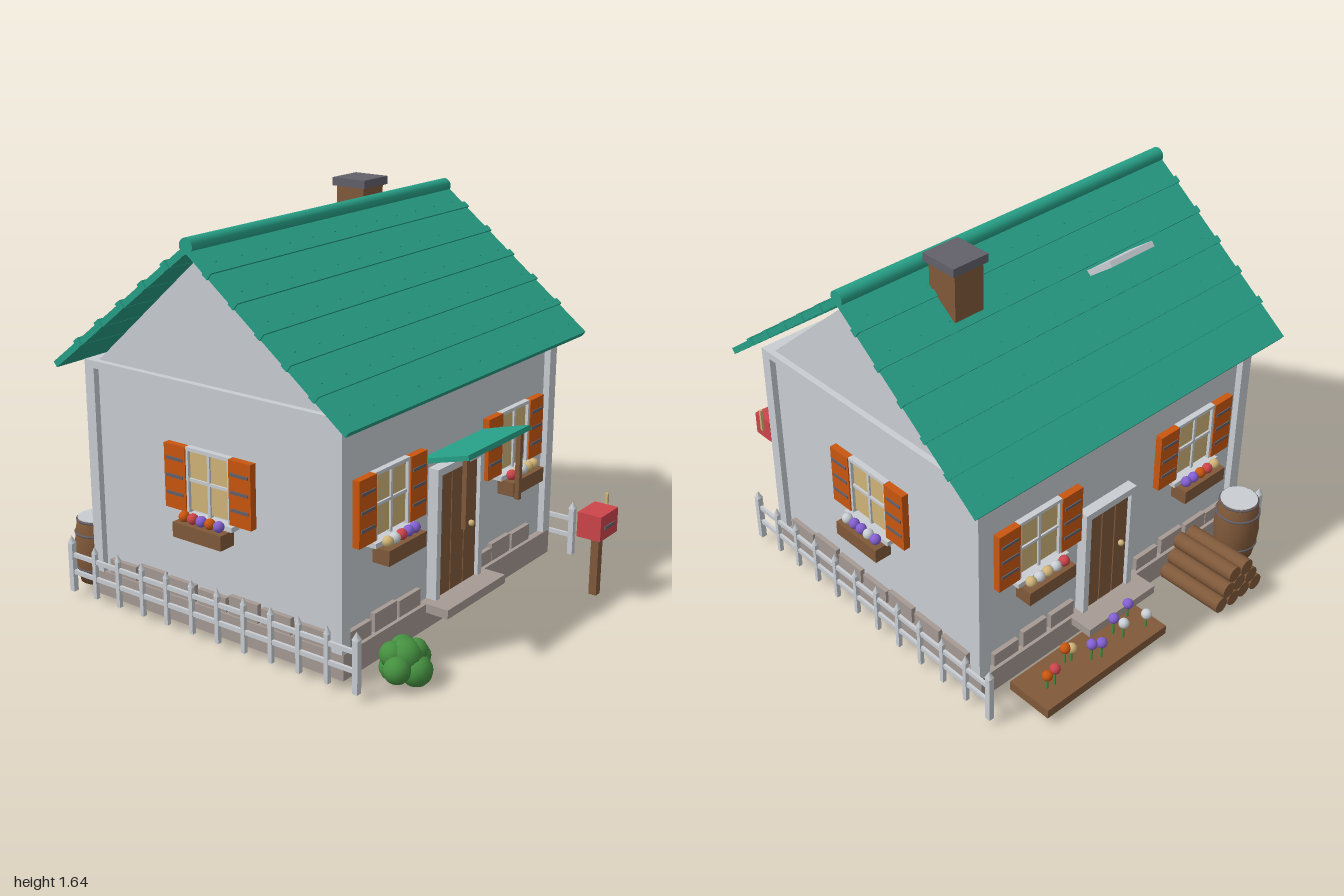
import * as THREE from 'three';

const mat = (name, color, side = THREE.FrontSide) => {
  const m = new THREE.MeshStandardMaterial({ color, side });
  m.name = name;
  return m;
};
const M = {
  green: mat('roof green', 0x27a087), wall: mat('pale grey', 0xc9ced3),
  orange: mat('shutter orange', 0xc9560f), brown: mat('wood brown', 0x80593a),
  tan: mat('warm tan', 0xd0b478), stone: mat('stone', 0xa69a94),
  dark: mat('dark grey', 0x62606a), leaf: mat('leaf green', 0x459040),
  red: mat('red', 0xcc454b), purple: mat('purple', 0x8360d2),
};

function add(parent, name, geo, m, x = 0, y = 0, z = 0) {
  const mesh = new THREE.Mesh(geo, m);
  mesh.name = name;
  mesh.position.set(x, y, z);
  parent.add(mesh);
  return mesh;
}
// Box given by its lowest and highest corners
function box(parent, name, m, [x0, x1], [y0, y1], [z0, z1]) {
  return add(parent, name, new THREE.BoxGeometry(x1 - x0, y1 - y0, z1 - z0), m,
    (x0 + x1) / 2, (y0 + y1) / 2, (z0 + z1) / 2);
}
const ball = (parent, name, m, r, x, y, z) =>
  add(parent, name, new THREE.SphereGeometry(r, 14, 10), m, x, y, z);
function group(parent, name, x = 0, y = 0, z = 0, ry = 0) {
  const g = new THREE.Group();
  g.name = name;
  g.position.set(x, y, z);
  g.rotation.y = ry;
  parent.add(g);
  return g;
}

const ZC = -0.05; // house centre line

// Shuttered window with flower box; local z = 0 is the wall face
function makeWindow(parent, x, z, ry, colors) {
  const g = group(parent, 'window', x, 0, z, ry);
  box(g, 'windowGlass', M.tan, [-0.1, 0.1], [0.52, 0.765], [0, 0.012]);
  for (const s of [-1, 1]) {
    box(g, 'frameSide', M.wall, [s * 0.103 - 0.006, s * 0.103 + 0.006], [0.51, 0.772], [0, 0.025]);
    box(g, 'shutter', M.orange, [s * 0.161 - 0.053, s * 0.161 + 0.053], [0.512, 0.77], [0, 0.03]);
    for (const y of [0.575, 0.645, 0.715])
      box(g, 'shutterSlat', M.dark, [s * 0.161 - 0.042, s * 0.161 + 0.042], [y - 0.006, y + 0.006], [0.028, 0.034]);
  }
  box(g, 'frameTop', M.wall, [-0.108, 0.108], [0.758, 0.772], [0, 0.025]);
  box(g, 'mullion', M.wall, [-0.006, 0.006], [0.51, 0.765], [0, 0.02]);
  box(g, 'crossBar', M.wall, [-0.1, 0.1], [0.636, 0.648], [0, 0.02]);
  box(g, 'sill', M.wall, [-0.132, 0.132], [0.49, 0.51], [0, 0.045]);
  box(g, 'flowerBox', M.brown, [-0.12, 0.12], [0.43, 0.49], [0.02, 0.095]);
  colors.forEach((c, i) => {
    const fx = (i - 2) * 0.043;
    add(g, 'stem', new THREE.ConeGeometry(0.012, 0.03, 6), M.leaf, fx, 0.495, 0.068);
    ball(g, 'blossom', M[c], 0.022, fx, 0.51, 0.065);
  });
}

// Plank door with frame, knob and step
function makeDoor(parent, name, x, z, ry, half, top, stepHalf) {
  const g = group(parent, name, x, 0, z, ry);
  const f = half + 0.028;
  for (const s of [-1, 1])
    box(g, 'doorFrameSide', M.wall, [s * (half + 0.014) - 0.014, s * (half + 0.014) + 0.014], [0.135, top], [0, 0.045]);
  box(g, 'doorFrameTop', M.wall, [-f, f], [top, top + 0.03], [0, 0.045]);
  box(g, 'doorBack', M.brown, [-half, half], [0.135, top], [0, 0.02]);
  const w = half * 2 / 3;
  for (let i = 0; i < 3; i++)
    box(g, 'doorPlank', M.brown, [-half + i * w + 0.003, -half + (i + 1) * w - 0.003], [0.135, top], [0.01, 0.03]);
  ball(g, 'doorKnob', M.tan, 0.013, half * 0.62, 0.38, 0.042);
  box(g, 'doorStep', M.stone, [-stepHalf, stepHalf], [0.1, 0.137], [0, 0.13]);
}

function makeFence(parent, x) {
  const g = group(parent, 'fence', x);
  const n = 12;
  for (let i = 0; i < n; i++) {
    const z = 0.67 - i * 1.44 / (n - 1), end = i === 0 || i === n - 1;
    const r = end ? 0.012 : 0.009, h = end ? 0.24 : 0.225;
    box(g, 'picket', M.wall, [-r, r], [0.03, h], [z - r, z + r]);
    const tip = add(g, 'picketTip', new THREE.ConeGeometry(r * 1.6, 0.032, 4), M.wall, 0, h + 0.016, z);
    tip.rotation.y = Math.PI / 4;
  }
  for (const y of [0.115, 0.19])
    box(g, 'rail', M.wall, [-0.006, 0.006], [y - 0.009, y + 0.009], [-0.77, 0.67]);
}

function makeRoof(parent) {
  const roof = group(parent, 'roof', 0, 1.55, ZC);
  const angle = Math.atan2(0.545, 0.71), len = 0.893;
  for (const ry of [0, Math.PI]) {
    const side = group(roof, 'roofSide', 0, 0, 0, ry);
    const slope = group(side, 'roofSlope');
    slope.rotation.x = angle;
    box(slope, 'roofSlab', M.green, [-0.825, 0.825], [-0.013, 0.013], [0, len]);
    // overlapping course edges and nail heads
    for (let i = 0; i < 6; i++) {
      const d = 0.14 + i * 0.148;
      if (i < 5) box(slope, 'courseEdge', M.green, [-0.832, 0.832], [-0.014, 0.02], [d - 0.03, d]);
      for (let k = 0; k < 12; k++)
        box(slope, 'nail', M.green, [-0.76 + k * 0.138 - 0.004, -0.76 + k * 0.138 + 0.004], [0.01, 0.018], [d - 0.054, d - 0.046]);
    }
  }
  const ridge = add(roof, 'ridgeCap', new THREE.CylinderGeometry(0.031, 0.031, 1.65, 18), M.green, 0, 0.01, 0);
  ridge.rotation.z = Math.PI / 2;
  // raised skylight on the back slope
  const sky = add(parent, 'skylight', new THREE.BoxGeometry(0.235, 0.024, 0.14), M.wall, -0.288, 1.412, -0.357);
  sky.rotation.x = angle;
  box(parent, 'chimney', M.brown, [0.335, 0.47], [1.35, 1.605], [-0.265, -0.127]);
  box(parent, 'chimneyCap', M.dark, [0.32, 0.485], [1.603, 1.637], [-0.277, -0.113]);
}

function makeShell(house) {
  box(house, 'foundation', M.stone, [-0.74, 0.74], [0.03, 0.135], [-0.68, 0.58]);
  box(house, 'walls', M.wall, [-0.72, 0.72], [0.13, 1.01], [-0.65, 0.55]);
  const tri = new THREE.Shape([[-0.59, 1.01], [0.59, 1.01], [0, 1.53]].map(p => new THREE.Vector2(...p)));
  const gable = add(house, 'gables', new THREE.ExtrudeGeometry(tri, { depth: 1.44, bevelEnabled: false }), M.wall, -0.72, 0, ZC);
  gable.rotation.y = Math.PI / 2;
  for (const s of [-1, 1]) {
    const zs = ZC + s * 0.604;
    for (const t of [-1, 1])
      box(house, 'cornerPost', M.wall, [t * 0.72 - 0.026, t * 0.72 + 0.026], [0.135, 1.0], [zs - 0.024, zs + 0.024]);
    box(house, 'sideBeam', M.wall, [s * 0.72 - 0.026, s * 0.72 + 0.026], [0.995, 1.025], [-0.678, 0.578]);
    box(house, 'eaveBeam', M.wall, [-0.746, 0.746], [0.995, 1.025], [zs - 0.024, zs + 0.024]);
  }
  // stones along the wall foot
  const stone = (a, c, w, i, ry) => {
    const g = group(house, 'footStones', 0, 0, ZC, ry);
    const h = 0.2 + 0.008 * (i * 5 % 3);
    box(g, 'footStone', M.stone, [c - w / 2, c + w / 2], [0.14, h], [a - 0.01, a + 0.02]);
  };
  [-0.625, -0.463, -0.305, 0.21, 0.355, 0.515].forEach((c, i) => stone(0.6, c, 0.142, i, 0));
  [-0.6, -0.45, -0.3, 0.19, 0.34, 0.49, 0.62].forEach((c, i) => stone(0.6, c, 0.125, i, Math.PI));
  for (const s of [-1, 1])
    for (let i = 0; i < 7; i++) stone(0.72, (i - 3) * 0.158, 0.142, i, s * Math.PI / 2);
}

function makeYard(root) {
  // mailbox
  const mail = group(root, 'mailbox');
  box(mail, 'mailboxPost', M.brown, [0.46, 0.494], [0.03, 0.3], [0.928, 0.962]);
  box(mail, 'mailboxBody', M.red, [0.405, 0.55], [0.292, 0.397], [0.89, 0.995]);
  box(mail, 'mailSlot', M.dark, [0.435, 0.52], [0.336, 0.348], [0.993, 1.0]);
  box(mail, 'mailFlag', M.tan, [0.55, 0.562], [0.335, 0.442], [0.934, 0.946]);

  // bush
  const bush = group(root, 'bush', -0.57, 0.085, 0.735);
  [[0, 0.03, 0, 0.065], [-0.07, 0, 0.01, 0.052], [0.068, 0, 0, 0.055], [0.01, -0.022, 0.04, 0.062],
    [-0.035, 0.035, -0.035, 0.05], [0.04, 0.03, -0.04, 0.05], [-0.02, -0.02, -0.04, 0.055], [0.035, 0.042, 0.02, 0.045]]
    .forEach(([x, y, z, r]) => ball(bush, 'foliage', M.leaf, r, x, y, z));

  // barrel
  const barrel = group(root, 'barrel', -0.63, 0.03, -0.78);
  const profile = [[0, 0], [0.078, 0], [0.09, 0.07], [0.096, 0.14], [0.09, 0.21], [0.08, 0.275], [0.07, 0.275]]
    .map(p => new THREE.Vector2(...p));
  add(barrel, 'barrelBody', new THREE.LatheGeometry(profile, 24), M.brown);
  add(barrel, 'barrelWater', new THREE.CylinderGeometry(0.078, 0.078, 0.008, 24), M.wall, 0, 0.274, 0);
  for (const [y, r] of [[0.06, 0.088], [0.215, 0.09], [0.27, 0.08]]) {
    const hoop = add(barrel, 'barrelHoop', new THREE.TorusGeometry(r, 0.005, 6, 28), M.dark, 0, y, 0);
    hoop.rotation.x = Math.PI / 2;
  }

  // log pile
  const pile = group(root, 'logPile', -0.393, 0.067, -0.845);
  for (let row = 0; row < 3; row++)
    for (let i = 0; i < 4 - row; i++) {
      const log = add(pile, 'log', new THREE.CylinderGeometry(0.035, 0.035, 0.3, 14), M.brown,
        (i - (3 - row) / 2) * 0.07, row * 0.061, -0.004 + 0.004 * (i % 2));
      log.rotation.x = Math.PI / 2;
    }

  // flower bed
  const bed = group(root, 'flowerBed');
  box(bed, 'planter', M.brown, [-0.03, 0.63], [0.035, 0.075], [-0.925, -0.72]);
  [['wall', 0.03, -0.87], ['wall', 0.14, -0.85], ['purple', 0.155, -0.81], ['purple', 0.04, -0.78],
    ['purple', 0.28, -0.865], ['purple', 0.32, -0.85], ['tan', 0.38, -0.8], ['orange', 0.405, -0.79],
    ['red', 0.515, -0.845], ['orange', 0.55, -0.84]].forEach(([c, x, z], i) => {
    const y = 0.14 + 0.008 * (i % 3);
    add(bed, 'stem', new THREE.CylinderGeometry(0.005, 0.005, y - 0.07, 6), M.leaf, x, (y + 0.07) / 2, z);
    ball(bed, 'blossom', M[c], 0.022, x, y, z);
  });
  for (const s of [-1, 1]) makeFence(root, s * 0.782);
}

export function createModel() {
  const root = new THREE.Group();
  root.name = 'cottage';
  const house = group(root, 'house');
  makeShell(house);
  makeRoof(house);

  // windows on all four walls
  makeWindow(house, -0.433, 0.55, 0, ['tan', 'wall', 'red', 'purple', 'purple']);
  makeWindow(house, 0.433, 0.55, 0, ['red', 'tan', 'wall', 'tan', 'tan']);
  makeWindow(house, 0.433, -0.65, Math.PI, ['tan', 'wall', 'tan', 'wall', 'red']);
  makeWindow(house, -0.433, -0.65, Math.PI, ['purple', 'purple', 'orange', 'red', 'tan']);
  makeWindow(house, 0.72, ZC, Math.PI / 2, ['wall', 'purple', 'purple', 'wall', 'purple']);
  makeWindow(house, -0.72, ZC, -Math.PI / 2, ['orange', 'red', 'purple', 'orange', 'purple']);

  makeDoor(house, 'frontDoor', 0, 0.55, 0, 0.137, 0.645, 0.21);
  makeDoor(house, 'backDoor', 0.07, -0.65, Math.PI, 0.11, 0.6, 0.187);

  // upturned canopy over the front door
  const canopy = add(house, 'canopy', new THREE.BoxGeometry(0.446, 0.02, 0.222), M.green, 0, 0.747, 0.656);
  canopy.rotation.x = -0.27;
  for (const s of [-1, 1])
    box(house, 'canopyPost', M.brown, [s * 0.193 - 0.01, s * 0.193 + 0.01], [0.482, 0.76], [0.724, 0.744]);

  makeYard(root);
  return root;
}
